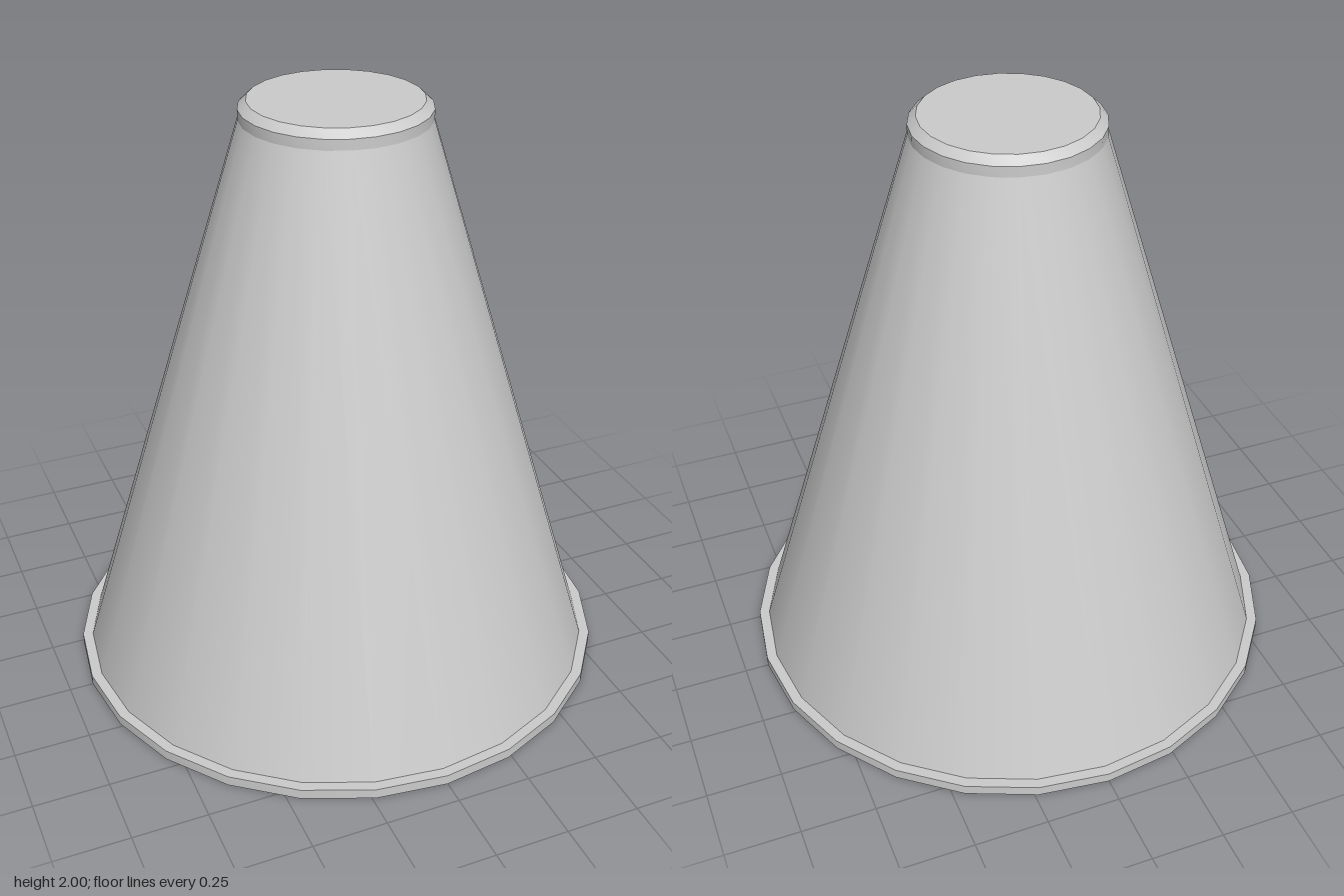
import * as THREE from 'three';
import { toCreasedNormals } from 'three/addons/utils/BufferGeometryUtils.js';

const SIDES = 24;

export function createModel() {
  const group = new THREE.Group();
  group.name = 'cone';
  const material = new THREE.MeshStandardMaterial({ color: 0xcccccc });

  // Turns a [radius, height] profile, listed from underside to top
  const addTurned = (name, profile) => {
    const points = profile.map(([r, y]) => new THREE.Vector2(r, y));
    const geometry = toCreasedNormals(new THREE.LatheGeometry(points, SIDES), 0.5);
    const mesh = new THREE.Mesh(geometry, material);
    mesh.name = name;
    group.add(mesh);
  };

  // Thin base flange with a shallow recess underneath
  addTurned('baseFlange', [[0, 0.06], [0.8, 0.06], [0.8, 0], [0.92, 0], [0.92, 0.035], [0.885, 0.035]]);

  // Tapered wall
  addTurned('taperedBody', [[0.885, 0.035], [0.305, 1.94]]);

  // Short upright lip, bevel and flat top
  addTurned('topCap', [[0.305, 1.94], [0.305, 1.975], [0.278, 2], [0, 2]]);

  return group;
}
